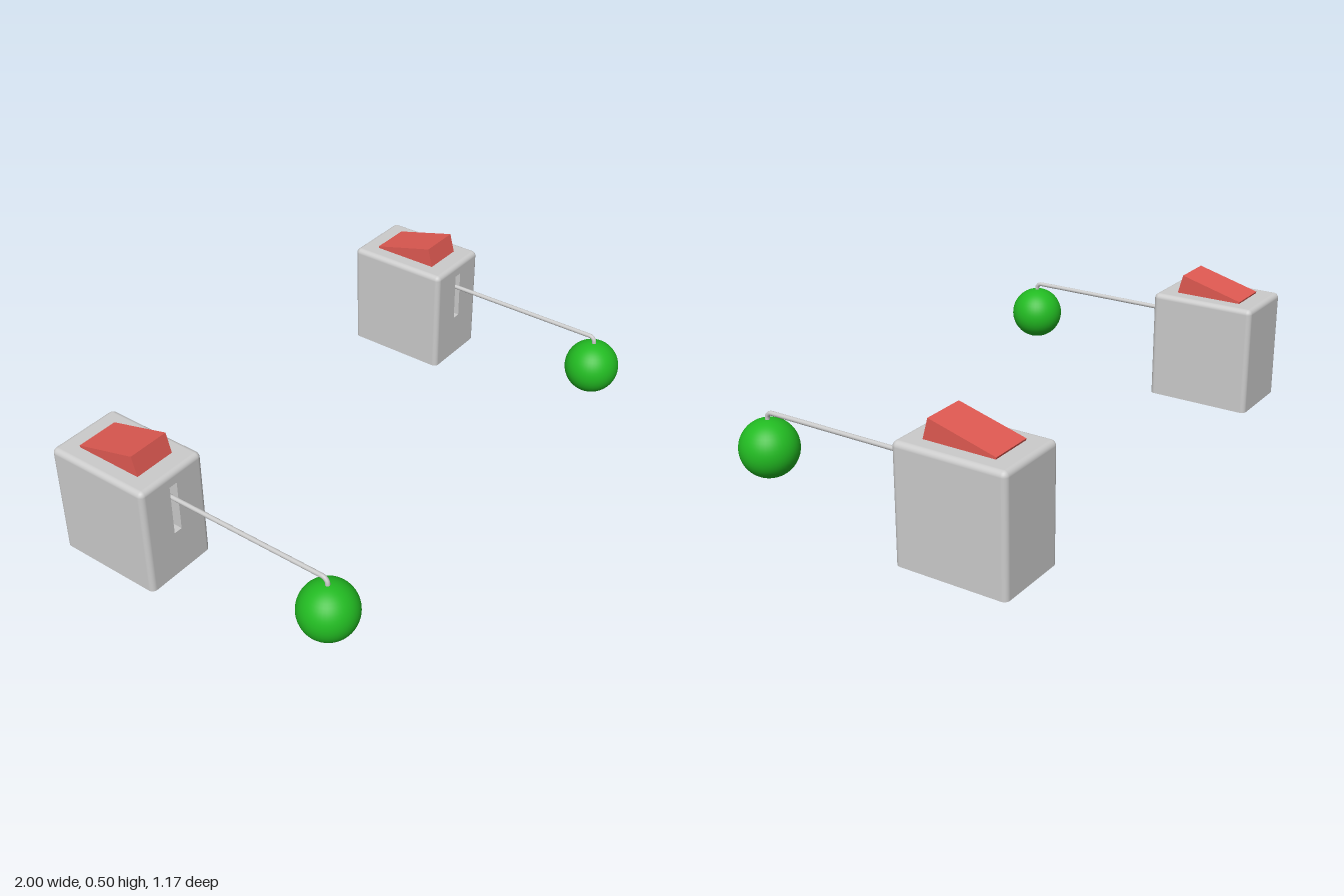
import * as THREE from 'three';

const W = 0.29, H = 0.43, D = 0.422, R = 0.02;   // housing size and edge radius
const BODY_Z = -0.376, FRONT = D / 2;
const SLOT = { w: 0.034, y0: 0.18, y1: 0.38, depth: 0.06 };

const grey = new THREE.MeshStandardMaterial({ color: 0xcccccc });
const greyInside = new THREE.MeshStandardMaterial({ color: 0xcccccc, side: THREE.BackSide });
const red = new THREE.MeshStandardMaterial({ color: 0xe05a52 });
const green = new THREE.MeshStandardMaterial({ color: 0x22bb22 });

function add(parent, name, geometry, material, x = 0, y = 0, z = 0) {
  const mesh = new THREE.Mesh(geometry, material);
  mesh.name = name;
  mesh.position.set(x, y, z);
  parent.add(mesh);
  return mesh;
}

// Walls with rounded upright edges and a rounded top rim; the flat front is left open
function shellGeometry() {
  const n = 6, count = 4 * (n + 1), pos = [], nor = [], idx = [];
  const rows = [[0, 0]];
  for (let k = 0; k <= n; k++) rows.push([H - R, (k / n) * Math.PI / 2]);
  for (const [base, tilt] of rows) {
    for (let q = 0; q < 4; q++) {
      const cx = (q === 0 || q === 3 ? 1 : -1) * (W / 2 - R);
      const cz = (q < 2 ? 1 : -1) * (D / 2 - R);
      for (let i = 0; i <= n; i++) {
        const a = (q + i / n) * Math.PI / 2;
        const nx = Math.cos(a) * Math.cos(tilt), nz = Math.sin(a) * Math.cos(tilt), ny = Math.sin(tilt);
        pos.push(cx + R * nx, base + R * ny, cz + R * nz);
        nor.push(nx, ny, nz);
      }
    }
  }
  for (let r = 0; r < rows.length - 1; r++) {
    for (let i = 0; i < count; i++) {
      if (r === 0 && i === n) continue;
      const a = r * count + i, b = r * count + (i + 1) % count;
      idx.push(a, a + count, b, b, a + count, b + count);
    }
  }
  const g = new THREE.BufferGeometry();
  g.setAttribute('position', new THREE.Float32BufferAttribute(pos, 3));
  g.setAttribute('normal', new THREE.Float32BufferAttribute(nor, 3));
  g.setIndex(idx);
  return g;
}

function rectangle(PathType, x, y0, y1) {
  const p = new PathType();
  p.moveTo(-x, y0).lineTo(x, y0).lineTo(x, y1).lineTo(-x, y1).closePath();
  return p;
}

function roundedBase() {
  const x = W / 2, z = D / 2, s = new THREE.Shape();
  s.moveTo(x, R - z);
  s.absarc(x - R, z - R, R, 0, Math.PI / 2);
  s.absarc(R - x, z - R, R, Math.PI / 2, Math.PI);
  s.absarc(R - x, R - z, R, Math.PI, Math.PI * 1.5);
  s.absarc(x - R, R - z, R, Math.PI * 1.5, Math.PI * 2);
  return new THREE.ShapeGeometry(s, 6).rotateX(Math.PI / 2);
}

function createHousing() {
  const housing = new THREE.Group();
  housing.name = 'housing';
  housing.position.z = BODY_Z;
  add(housing, 'housingShell', shellGeometry(), grey);
  add(housing, 'housingTop', new THREE.PlaneGeometry(W - 2 * R, D - 2 * R).rotateX(-Math.PI / 2), grey, 0, H, 0);
  add(housing, 'housingBase', roundedBase(), grey);

  // Front panel with the lever slot cut through it
  const panel = rectangle(THREE.Shape, W / 2 - R, 0, H - R);
  panel.holes.push(rectangle(THREE.Path, SLOT.w / 2, SLOT.y0, SLOT.y1));
  add(housing, 'frontPanel', new THREE.ShapeGeometry(panel), grey, 0, 0, FRONT);

  // Recess behind the slot: a box seen from inside, without its front face
  const recess = new THREE.BoxGeometry(SLOT.w, SLOT.y1 - SLOT.y0, SLOT.depth);
  const index = Array.from(recess.index.array);
  index.splice(24, 6);
  recess.setIndex(index);
  recess.clearGroups();
  add(housing, 'slotRecess', recess, greyInside, 0, (SLOT.y0 + SLOT.y1) / 2, FRONT - SLOT.depth / 2);
  return housing;
}

function createUnit() {
  const unit = new THREE.Group();
  unit.add(createHousing());

  // Tilted rocker, sunk into the top of the housing
  const tilt = 0.265, thick = 0.1, length = 0.259;
  const rocker = add(unit, 'rockerButton',
    new THREE.BoxGeometry(0.163, thick, length).translate(0, -thick / 2, -length / 2), red, 0, 0.505, -0.262);
  rocker.rotation.x = -tilt;

  // Lever rod: straight out of the slot, then bent down into the ball
  const y = 0.322, z = 0.482, bend = 0.022;
  const path = new THREE.CurvePath();
  const v = (py, pz) => new THREE.Vector3(0, py, pz);
  path.add(new THREE.LineCurve3(v(y, BODY_Z + FRONT - SLOT.depth), v(y, z - bend)));
  path.add(new THREE.CubicBezierCurve3(v(y, z - bend), v(y, z - bend * 0.45), v(y - bend * 0.45, z), v(y - bend, z)));
  path.add(new THREE.LineCurve3(v(y - bend, z), v(0.2, z)));
  add(unit, 'leverRod', new THREE.TubeGeometry(path, 120, 0.0085, 12), grey);

  add(unit, 'leverBall', new THREE.SphereGeometry(0.106, 40, 24), green, 0, 0.19, z);
  return unit;
}

export function createModel() {
  const model = new THREE.Group();
  model.name = 'leverSwitchPair';
  for (const [name, side] of [['leftSwitch', 1], ['rightSwitch', -1]]) {
    const unit = createUnit();
    unit.name = name;
    unit.position.x = side * (1 - W / 2);
    model.add(unit);
  }
  return model;
}
